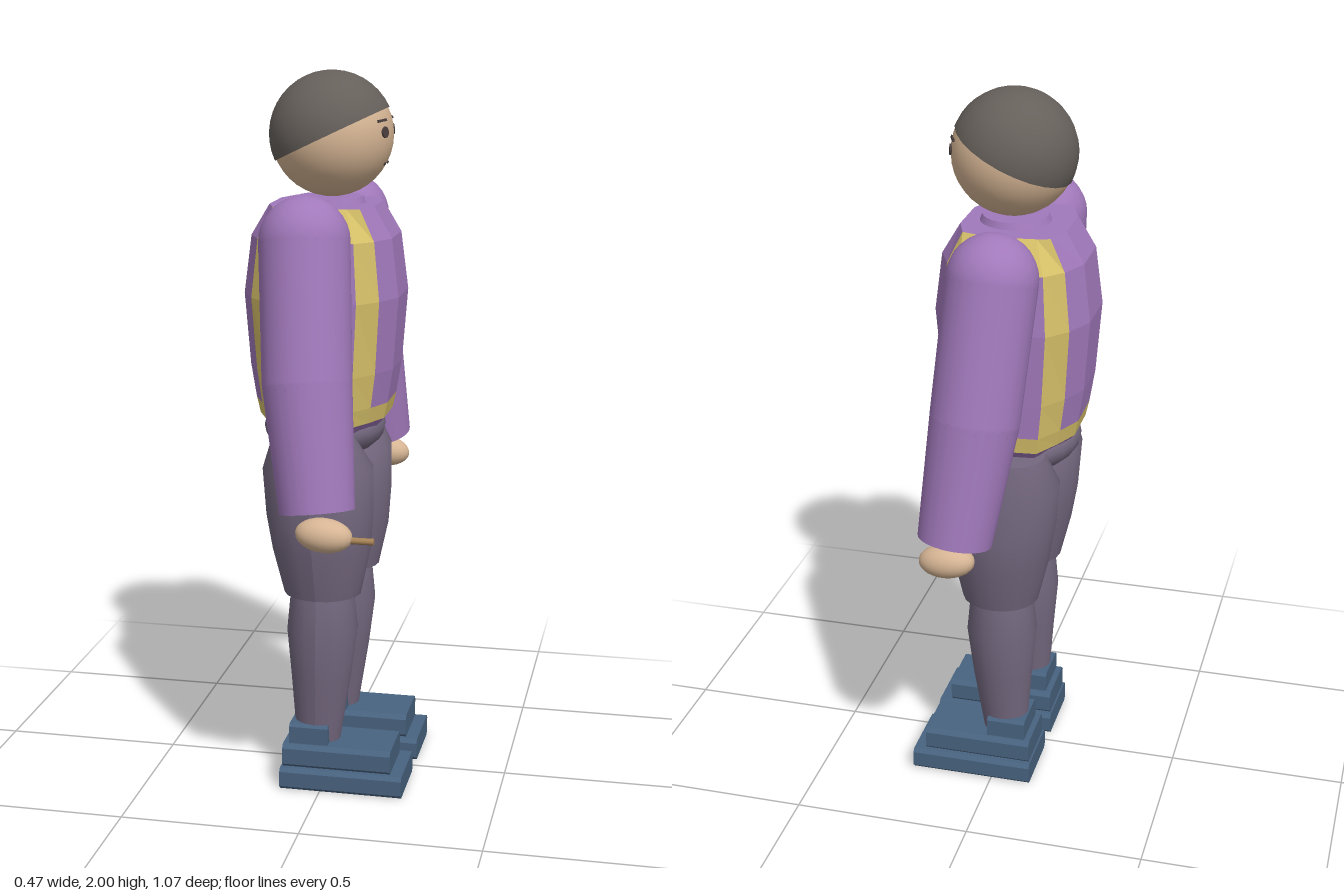
import * as THREE from 'three';

const mat = (name, color, extra = {}) => {
  const m = new THREE.MeshStandardMaterial({ color, ...extra });
  m.name = name;
  return m;
};

export function createModel() {
  const purple = mat('purple cloth', 0xa179bb);
  const vestPurple = purple.clone();
  vestPurple.flatShading = true;
  const yellow = mat('yellow trim', 0xd6c069, { flatShading: true });
  const trouser = mat('trouser grey', 0x74687f);
  const shoe = mat('shoe blue', 0x48637f);
  const skin = mat('skin', 0xd6b594);
  const hairMat = mat('hair', 0x66605b);
  const dark = mat('face marks', 0x4a403e);
  const wood = mat('wood', 0xa88458);

  const model = new THREE.Group();
  model.name = 'figure';
  const add = (parent, name, geo, material, x = 0, y = 0, z = 0) => {
    const m = new THREE.Mesh(geo, material);
    m.name = name;
    m.position.set(x, y, z);
    parent.add(m);
    return m;
  };

  // Smooth elliptical loft; rings run from top: [y, xCentre, zCentre, xRadius, zRadius]
  const loft = (rings) => {
    const n = rings.length - 1;
    const g = new THREE.CylinderGeometry(1, 1, 1, 20, n);
    const p = g.attributes.position;
    for (let i = 0; i < p.count; i++) {
      const [y, cx, cz, rx, rz] = rings[Math.round((0.5 - p.getY(i)) * n)];
      p.setXYZ(i, cx + p.getX(i) * rx, y, cz + p.getZ(i) * rz);
    }
    g.computeVertexNormals();
    return g;
  };

  // Cylinder between two points
  const limb = (parent, name, a, b, ra, rb, material, segs = 24) => {
    const d = b.clone().sub(a);
    const m = add(parent, name, new THREE.CylinderGeometry(rb, ra, d.length(), segs), material);
    m.position.copy(a).add(b).multiplyScalar(0.5);
    m.quaternion.setFromUnitVectors(new THREE.Vector3(0, 1, 0), d.normalize());
    return m;
  };

  // Faceted torso: [y, xRadius, strapInnerZ, strapOuterZ], from the bottom up
  const rings = [
    [1.03, 0.15, 0.1, 0.18], [1.06, 0.175, 0.14, 0.215], [1.105, 0.185, 0.145, 0.22],
    [1.2, 0.2, 0.15, 0.222], [1.4, 0.215, 0.16, 0.22], [1.56, 0.195, 0.15, 0.2], [1.645, 0.145, 0.14, 0.15],
  ].map(([y, x, zi, zo]) => {
    const q = [[x, 0.5 * zi], [0.82 * x, zi], [0.58 * x, zo]];
    const side = [...q, [0, zo + 0.01], ...q.map(([a, b]) => [-a, b]).reverse()];
    const loop = [...side, ...side.map(([a, b]) => [-a, -b])];
    return loop.map(([a, b]) => new THREE.Vector3(a - 0.025, y, b));
  });
  const faces = { purple: [], yellow: [] };
  const tri = (key, ...pts) => pts.forEach((v) => faces[key].push(v.x, v.y, v.z));
  for (let r = 0; r < rings.length - 1; r++) {
    for (let i = 0; i < 14; i++) {
      const j = (i + 1) % 14, s = i % 7;
      const strap = r >= 1 && (s === 1 || s === 4);
      const shoulder = r === 5 && (s === 2 || s === 3);
      const key = r === 1 || strap || shoulder ? 'yellow' : 'purple';
      const [a, b, c, d] = [rings[r][i], rings[r][j], rings[r + 1][j], rings[r + 1][i]];
      tri(key, a, d, c);
      tri(key, a, c, b);
    }
  }
  const top = rings[rings.length - 1], bottom = rings[0];
  for (let i = 1; i < 13; i++) {
    tri('purple', top[0], top[i + 1], top[i]);
    tri('purple', bottom[0], bottom[i], bottom[i + 1]);
  }
  const shell = (list) => {
    const g = new THREE.BufferGeometry();
    g.setAttribute('position', new THREE.Float32BufferAttribute(list, 3));
    g.computeVertexNormals();
    return g;
  };
  add(model, 'vest', shell(faces.purple), vestPurple);
  add(model, 'strapsAndBelt', shell(faces.yellow), yellow);
  add(model, 'collar', new THREE.CylinderGeometry(0.09, 0.1, 0.025, 24), purple, -0.015, 1.65, 0);

  // Pelvis
  add(model, 'pelvis', new THREE.SphereGeometry(1, 24, 14), trouser, -0.03, 1.02, 0).scale.set(0.17, 0.09, 0.19);

  // Head, hair cap and face, looking along +x
  const head = new THREE.Group();
  head.name = 'head';
  head.position.set(-0.01, 1.83, 0);
  model.add(head);
  const R = 0.168;
  add(head, 'face', new THREE.SphereGeometry(R, 32, 20), skin);
  add(head, 'hair', new THREE.SphereGeometry(0.172, 24, 10, 0, Math.PI * 2, 0, Math.PI / 2),
    hairMat).rotation.z = 0.445;
  const mark = (name, geo, y, z) => {
    const m = add(head, name, geo, dark, Math.sqrt(R * R - y * y - z * z), y, z);
    m.quaternion.setFromUnitVectors(new THREE.Vector3(1, 0, 0), m.position.clone().normalize());
  };
  const disc = (r) => new THREE.CylinderGeometry(r, r, 0.006, 16).rotateZ(-Math.PI / 2);
  for (const s of [1, -1]) {
    mark('eye', disc(0.015), 0.012, s * 0.06);
    mark('eyebrow', new THREE.BoxGeometry(0.007, 0.007, 0.038), 0.043, s * 0.065);
    mark('mouthCorner', disc(0.004), -0.075, s * 0.022);
  }

  // Arms and legs on both sides
  for (const s of [1, -1]) {
    const arm = new THREE.Group();
    arm.name = s > 0 ? 'armNear' : 'armFar';
    model.add(arm);
    const shoulder = new THREE.Vector3(-0.025, 1.575, s * 0.285);
    const elbow = new THREE.Vector3(0, 1.22, s * 0.37);
    const wrist = new THREE.Vector3(0.04, 0.89, s * 0.435);
    add(arm, 'shoulder', new THREE.SphereGeometry(0.121, 24, 16), purple).position.copy(shoulder);
    limb(arm, 'upperSleeve', shoulder, elbow, 0.121, 0.119, purple);
    add(arm, 'elbow', new THREE.SphereGeometry(0.119, 24, 16), purple).position.copy(elbow);
    limb(arm, 'lowerSleeve', elbow, wrist, 0.119, 0.1, purple);
    const hand = add(arm, 'hand', new THREE.SphereGeometry(1, 20, 14), skin, 0.06, 0.83, s * 0.447);
    hand.scale.set(0.077, 0.046, 0.047);
    hand.rotation.z = -0.08;

    const leg = new THREE.Group();
    leg.name = s > 0 ? 'legNear' : 'legFar';
    model.add(leg);
    add(leg, 'thigh', loft([
      [1.03, -0.03, s * 0.17, 0.11, 0.095], [0.93, -0.02, s * 0.143, 0.155, 0.142],
      [0.8, -0.015, s * 0.143, 0.15, 0.143], [0.7, -0.01, s * 0.142, 0.138, 0.134],
      [0.57, -0.008, s * 0.14, 0.108, 0.1],
    ]), trouser);
    add(leg, 'shin', loft([
      [0.6, -0.01, s * 0.138, 0.085, 0.085], [0.56, -0.01, s * 0.138, 0.09, 0.09],
      [0.46, -0.01, s * 0.135, 0.1, 0.103], [0.32, -0.013, s * 0.137, 0.085, 0.085],
      [0.12, -0.022, s * 0.138, 0.062, 0.05],
    ]), trouser);

    // Shoe slabs with clipped edges along the sides
    const slab = (name, x0, x1, y0, y1, w, c) => {
      const sh = new THREE.Shape([
        [-w, y0 + c], [-w + c, y0], [w - c, y0], [w, y0 + c],
        [w, y1 - c], [w - c, y1], [-w + c, y1], [-w, y1 - c],
      ].map(([x, y]) => new THREE.Vector2(x, y)));
      const g = new THREE.ExtrudeGeometry(sh, { depth: x1 - x0, bevelEnabled: false });
      g.rotateY(Math.PI / 2);
      add(leg, name, g, shoe, x0, 0, s * 0.136);
    };
    slab('sole', -0.115, 0.235, 0, 0.063, 0.103, 0.01);
    slab('shoeUpper', -0.11, 0.2, 0.06, 0.13, 0.087, 0.012);
    slab('heelCuff', -0.093, 0.018, 0.12, 0.187, 0.07, 0.008);
  }

  // Small stick held in one hand
  limb(model, 'stick', new THREE.Vector3(0.08, 0.82, 0.447), new THREE.Vector3(0.193, 0.82, 0.447), 0.009, 0.009, wood, 10);

  return model;
}
